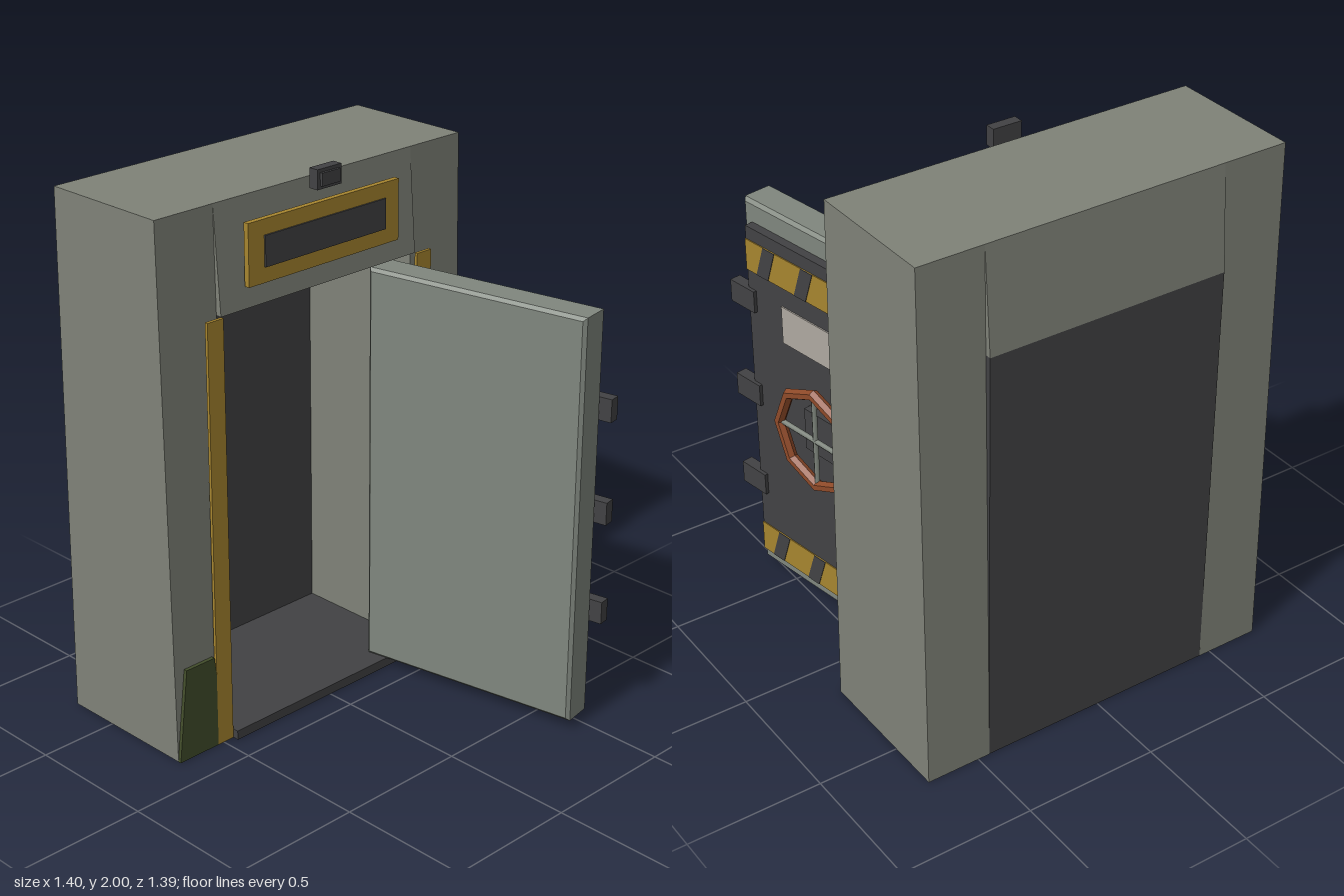
import * as THREE from 'three';

const mat = (name, color) => {
  const m = new THREE.MeshStandardMaterial({ color });
  m.name = name;
  return m;
};

export function createModel() {
  const concrete = mat('concrete', 0x7f8278);
  const steel = mat('steel', 0x80877e);
  const dark = mat('dark metal', 0x424244);
  const yellow = mat('hazard yellow', 0xa7852f);
  const rust = mat('rusty red', 0x8f4a29);
  const moss = mat('moss green', 0x424d2b);
  const label = mat('label plate', 0xafa9a1);
  rust.flatShading = true;

  const model = new THREE.Group();
  model.name = 'vaultDoorway';

  const add = (parent, name, geometry, material, x = 0, y = 0, z = 0) => {
    const mesh = new THREE.Mesh(geometry, material);
    mesh.name = name;
    mesh.position.set(x, y, z);
    parent.add(mesh);
    return mesh;
  };
  // box given by its extents
  const box = (parent, name, material, x0, x1, y0, y1, z0, z1) =>
    add(parent, name, new THREE.BoxGeometry(x1 - x0, y1 - y0, z1 - z0), material,
      (x0 + x1) / 2, (y0 + y1) / 2, (z0 + z1) / 2);
  // box whose depth shrinks to 90 % at the top
  const taperedBox = (name, x0, x1, y0, y1) => {
    const mesh = box(model, name, concrete, x0, x1, y0, y1, -0.7, -0.14);
    const p = mesh.geometry.attributes.position;
    for (let i = 0; i < p.count; i++) if (p.getY(i) > 0) p.setZ(i, p.getZ(i) * 0.9);
    mesh.geometry.computeVertexNormals();
  };
  // flat outline given a small depth
  const plate = (points, depth) => new THREE.ExtrudeGeometry(
    new THREE.Shape(points.map(([x, y]) => new THREE.Vector2(x, y))),
    { depth, bevelEnabled: false });

  // concrete surround
  taperedBox('rightPost', -0.7, -0.455, 0, 1.96);
  taperedBox('leftPost', 0.455, 0.7, 0, 1.96);
  taperedBox('lintel', -0.455, 0.455, 1.58, 1.96);
  box(model, 'backWall', dark, -0.455, 0.455, 0, 1.58, -0.699, -0.675);
  box(model, 'threshold', dark, -0.455, 0.455, 0, 0.035, -0.699, -0.105);

  // yellow trim beside the opening
  for (const s of [-1, 1]) {
    add(model, 'openingTrim', new THREE.BoxGeometry(0.07, 1.58, 0.012), yellow, s * 0.49, 0.79, -0.134);
  }

  // sign and lamp above the opening
  box(model, 'signFrame', yellow, -0.35, 0.347, 1.66, 1.88, -0.138, -0.117);
  box(model, 'signFace', dark, -0.28, 0.28, 1.715, 1.825, -0.12, -0.111);
  box(model, 'lampHousing', dark, -0.055, 0.055, 1.93, 2.0, -0.138, -0.1);
  box(model, 'lampFront', dark, -0.042, 0.042, 1.942, 1.988, -0.1, -0.09);

  // moss patch at the foot of the right post
  add(model, 'mossPatch', plate([[-0.7, 0], [-0.493, 0], [-0.533, 0.35], [-0.66, 0.35]], 0.014),
    moss, 0, 0, -0.142);

  // open door: local z = 0 is its outer face, local +x points to the hinge
  const door = new THREE.Group();
  door.name = 'door';
  door.position.set(0.469, 0, 0.222);
  door.rotation.y = THREE.MathUtils.degToRad(100);
  model.add(door);

  const b = 0.012, w = 0.435 - b, y0 = 0.035 + b, y1 = 1.56 - b;
  const slab = new THREE.ExtrudeGeometry(
    new THREE.Shape([[-w, y0], [w, y0], [w, y1], [-w, y1]].map((p) => new THREE.Vector2(...p))),
    { depth: 0.128 - 2 * b, bevelThickness: b, bevelSize: b, bevelSegments: 1 });
  add(door, 'doorSlab', slab, steel, 0, 0, -0.128 + b);
  box(door, 'doorPanel', dark, -0.39, 0.39, 0.11, 1.48, -0.005, 0.033);
  box(door, 'labelPlate', label, -0.212, 0.212, 1.09, 1.235, 0.033, 0.038);

  // hazard bands with slanted dark bars
  for (const y of [0.115, 1.31]) {
    box(door, 'hazardBand', yellow, -0.39, 0.39, y, y + 0.12, 0.033, 0.037);
    for (let i = 0; i < 4; i++) {
      const bar = plate([[-0.05, 0], [0.01, 0], [0.05, 0.12], [-0.01, 0.12]], 0.002);
      add(door, 'hazardBar', bar, dark, -0.285 + i * 0.195, y, 0.037);
    }
  }

  // latches on the free edge
  for (const y of [0.425, 0.81, 1.195]) {
    add(door, 'latch', new THREE.BoxGeometry(0.125, 0.085, 0.042), dark, -0.412, y, 0.025);
  }

  // hand wheel
  const wheel = new THREE.Group();
  wheel.name = 'handWheel';
  wheel.position.set(0, 0.808, 0.089);
  door.add(wheel);
  add(wheel, 'hubPlate', new THREE.BoxGeometry(0.17, 0.165, 0.03), dark, 0, 0, -0.041);
  add(wheel, 'wheelRim', new THREE.TorusGeometry(0.188, 0.021, 6, 8), rust);
  for (const a of [0, Math.PI / 2]) {
    add(wheel, 'spoke', new THREE.CylinderGeometry(0.01, 0.01, 0.37, 6), steel).rotation.z = a;
  }
  return model;
}
